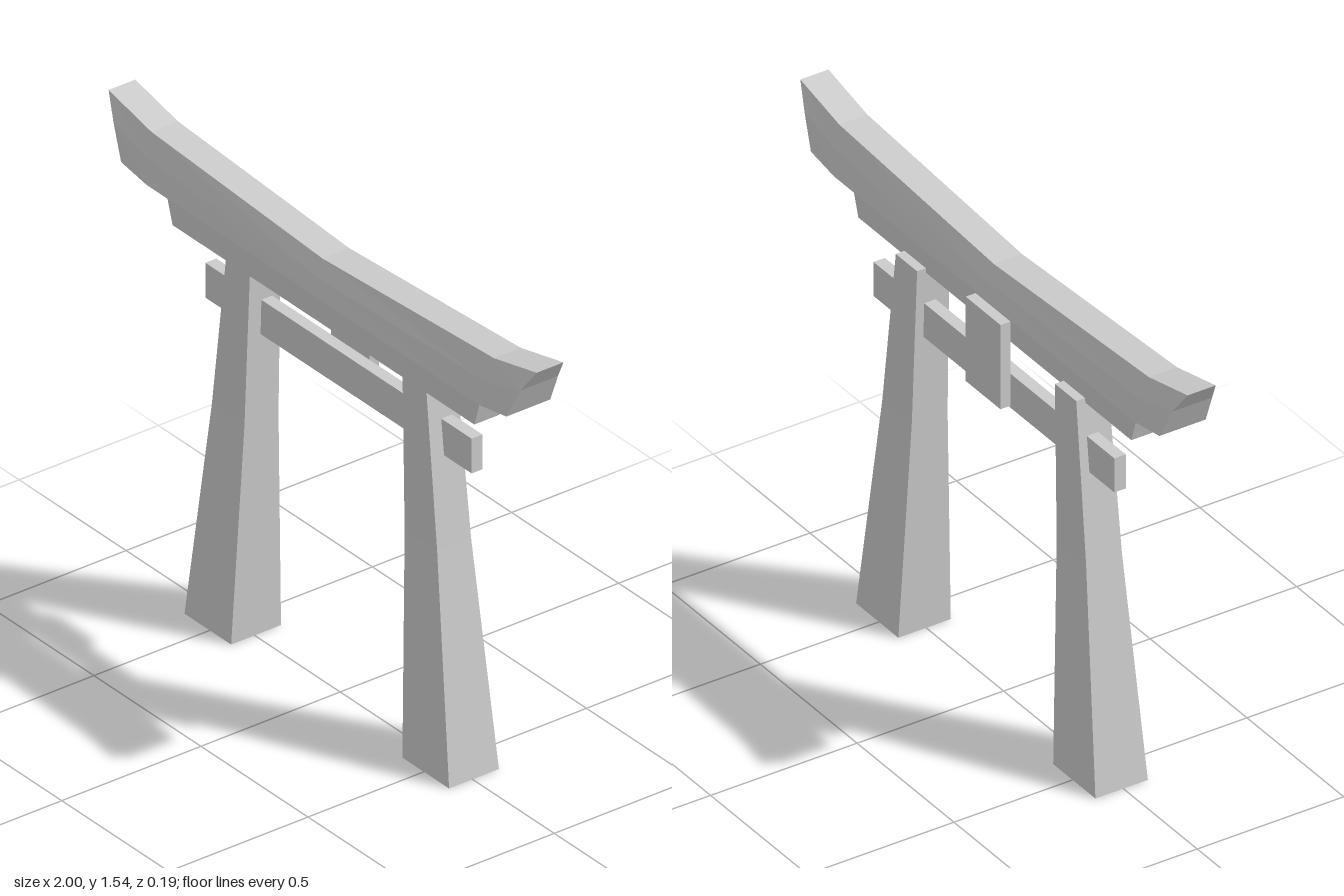
import * as THREE from 'three';

const material = new THREE.MeshStandardMaterial({ color: 0xcccccc, flatShading: true });

// Skin a list of rings, each counterclockwise seen from the far end, and close both ends.
function loft(name, rings) {
  const pos = [];
  const quad = (a, b, c, d) => [a, b, c, a, c, d].forEach((p) => pos.push(...p));
  const n = rings[0].length;
  for (let k = 0; k < rings.length - 1; k++) {
    for (let i = 0; i < n; i++) {
      const j = (i + 1) % n;
      quad(rings[k][i], rings[k][j], rings[k + 1][j], rings[k + 1][i]);
    }
  }
  const first = rings[0];
  const last = rings[rings.length - 1];
  for (let i = 0; i < n / 2 - 1; i++) {
    quad(last[i], last[i + 1], last[n - 2 - i], last[n - 1 - i]);
    quad(first[n - 1 - i], first[n - 2 - i], first[i + 1], first[i]);
  }
  const geo = new THREE.BufferGeometry();
  geo.setAttribute('position', new THREE.Float32BufferAttribute(pos, 3));
  geo.computeVertexNormals();
  const mesh = new THREE.Mesh(geo, material);
  mesh.name = name;
  return mesh;
}

// Horizontal rectangle at height y
const rect = (y, x0, x1, z0, z1) => [[x1, y, z0], [x0, y, z0], [x0, y, z1], [x1, y, z1]];

function box(name, x0, x1, y0, y1, z0, z1) {
  const mesh = new THREE.Mesh(new THREE.BoxGeometry(x1 - x0, y1 - y0, z1 - z0), material);
  mesh.position.set((x0 + x1) / 2, (y0 + y1) / 2, (z0 + z1) / 2);
  mesh.name = name;
  return mesh;
}

export function createModel() {
  const group = new THREE.Group();
  group.name = 'gate';

  // Upswept roof beam: top, middle and bottom [x, y] at each station from centre to tip
  const half = [
    [[0, 1.455], [0, 1.4], [0, 1.345]],
    [[0.8, 1.5], [0.79, 1.425], [0.78, 1.345]],
    [[1, 1.545], [0.95, 1.47], [0.9, 1.365]],
  ];
  const front = [0.063, 0.084, 0.095];
  const back = [-0.033, -0.052, -0.063];
  const station = (pts, s) => [
    ...[0, 1, 2].map((i) => [s * pts[i][0], pts[i][1], front[i]]),
    ...[2, 1, 0].map((i) => [s * pts[i][0], pts[i][1], back[i]]),
  ];
  group.add(loft('roofBeam', [
    station(half[2], -1), station(half[1], -1),
    station(half[0], 1), station(half[1], 1), station(half[2], 1),
  ]));

  // Second lintel, flaring out to meet the roof beam
  group.add(loft('lintel', [
    rect(1.235, -0.705, 0.705, -0.03, 0.06),
    rect(1.315, -0.73, 0.73, -0.03, 0.06),
    rect(1.345, -0.78, 0.78, -0.063, 0.095),
  ]));

  // Tie beam through the posts and the tablet behind it
  group.add(box('tieBeam', -0.622, 0.622, 1.015, 1.13, -0.033, 0.006));
  group.add(box('tablet', -0.09, 0.09, 1.025, 1.31, -0.07, -0.036));

  // Leaning, tapered posts: y, inner x, outer x, back z, front z
  const post = [
    [0, 0.4, 0.618, -0.095, 0.084],
    [0.73, 0.374, 0.526, -0.066, 0.056],
    [1.25, 0.356, 0.466, -0.06, 0.05],
  ];
  for (const s of [-1, 1]) {
    group.add(loft(s > 0 ? 'leftPost' : 'rightPost', post.map(([y, a, b, z0, z1]) =>
      rect(y, s > 0 ? a : -b, s > 0 ? b : -a, z0, z1))));
  }
  return group;
}
